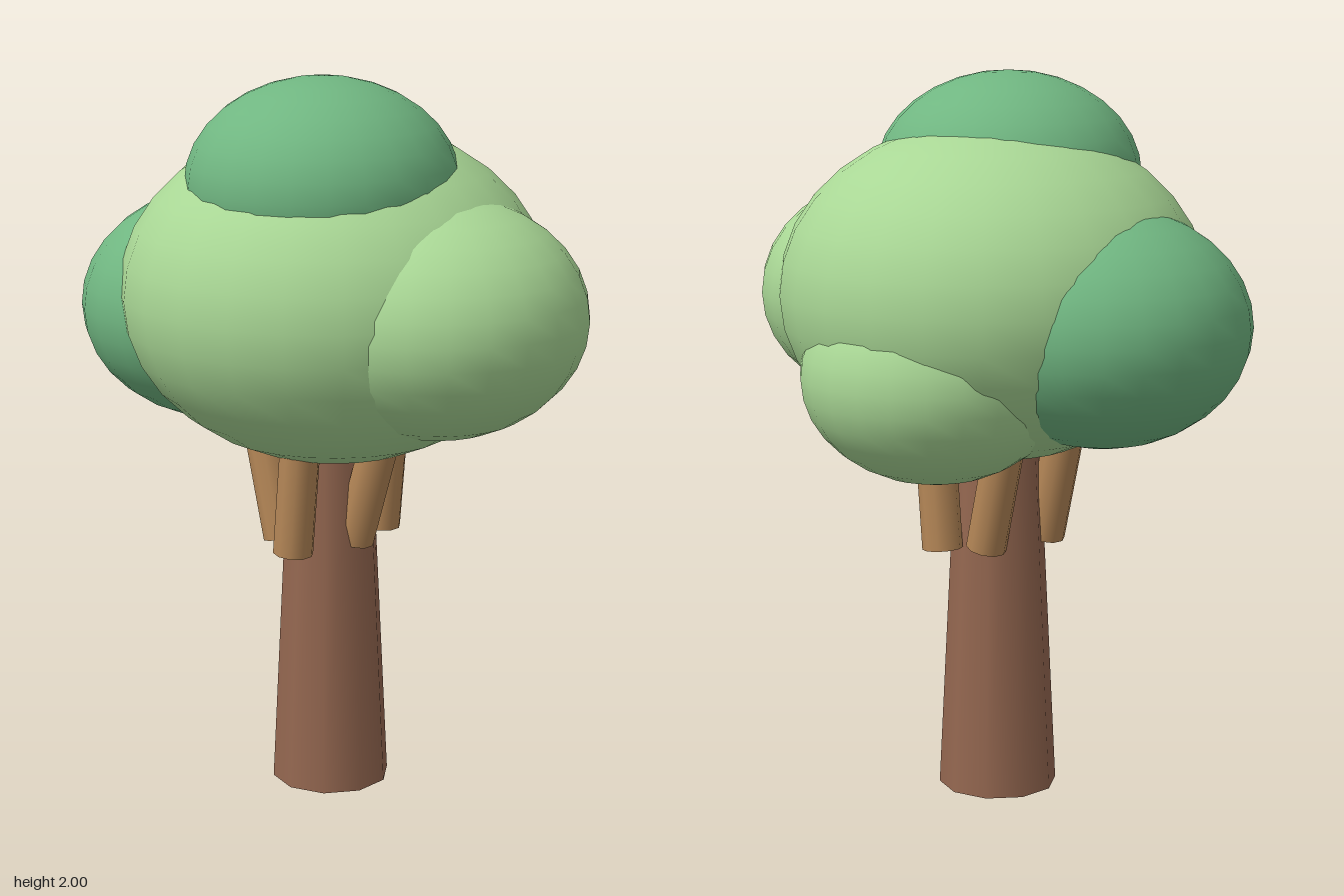
import * as THREE from 'three';

const mat = (name, color) => {
  const m = new THREE.MeshStandardMaterial({ color });
  m.name = name;
  return m;
};

export function createModel() {
  const tree = new THREE.Group();
  tree.name = 'tree';

  const lightLeaf = mat('light leaf green', 0xa9d795);
  const darkLeaf = mat('dark leaf green', 0x70b681);
  const bark = mat('bark brown', 0x946750);
  const wood = mat('branch tan', 0xb58757);

  const add = (name, geometry, material, x, y, z) => {
    const mesh = new THREE.Mesh(geometry, material);
    mesh.name = name;
    mesh.position.set(x, y, z);
    tree.add(mesh);
    return mesh;
  };

  // Tapered trunk, its top hidden in the crown
  const cx = -0.012, cz = 0.017;
  add('trunk', new THREE.CylinderGeometry(0.112, 0.166, 1.1, 10), bark, cx, 0.55, cz);

  // Five branches in a ring, leaning sideways only
  const branchGeo = new THREE.CylinderGeometry(0.056, 0.056, 0.66, 10);
  for (let i = 0; i < 5; i++) {
    const a = (i / 5) * Math.PI * 2;
    const branch = add('branch', branchGeo, wood,
      cx + Math.cos(a) * 0.19, 1.035, cz + Math.sin(a) * 0.19);
    branch.rotation.z = -Math.cos(a) * 0.3;
  }

  // Flattened leaf clumps: name, material, centre, radii
  const leafGeo = new THREE.SphereGeometry(1, 24, 16);
  const clumps = [
    ['mainCrown', lightLeaf, [0, 1.41, 0.01], [0.585, 0.465, 0.588]],
    ['topClump', darkLeaf, [0.045, 1.715, 0.108], [0.368, 0.285, 0.365]],
    ['rightClump', darkLeaf, [-0.345, 1.34, 0.09], [0.4, 0.323, 0.4]],
    ['leftClump', lightLeaf, [0.34, 1.38, -0.018], [0.402, 0.323, 0.408]],
    ['backClump', lightLeaf, [-0.04, 1.21, -0.235], [0.365, 0.293, 0.363]],
  ];
  for (const [name, material, centre, radii] of clumps) {
    add(name, leafGeo, material, ...centre).scale.set(...radii);
  }

  return tree;
}
